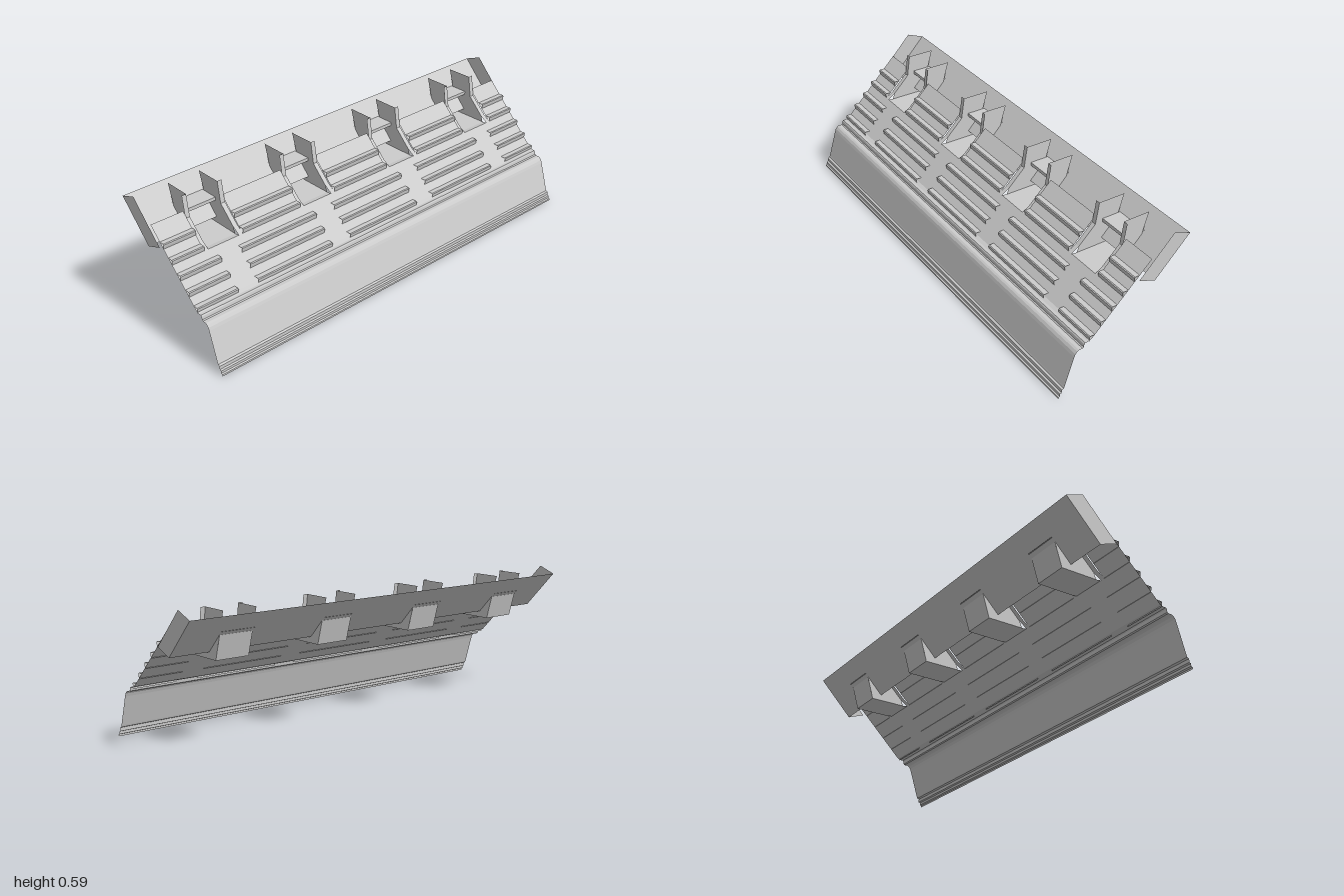
import * as THREE from 'three';

const material = new THREE.MeshStandardMaterial({ color: 0xcccccc, flatShading: true, side: THREE.DoubleSide });

// Folded sheet: a [z, y] profile swept straight from x0 to x1
function sheet(name, profile, x0, x1) {
  const pos = [], index = [];
  profile.forEach(([z, y], i) => {
    pos.push(x0, y, z, x1, y, z);
    if (i) {
      const a = 2 * i - 2;
      index.push(a, a + 2, a + 1, a + 1, a + 2, a + 3);
    }
  });
  let g = new THREE.BufferGeometry();
  g.setAttribute('position', new THREE.Float32BufferAttribute(pos, 3));
  g.setIndex(index);
  g = g.toNonIndexed();
  g.computeVertexNormals();
  const mesh = new THREE.Mesh(g, material);
  mesh.name = name;
  return mesh;
}

// Flat plate in a plane of constant x, outlined by [z, y] points
function sidePlate(name, outline, x) {
  const shape = new THREE.Shape(outline.map(([z, y]) => new THREE.Vector2(-z, y)));
  const g = new THREE.ShapeGeometry(shape);
  g.rotateY(Math.PI / 2);
  const mesh = new THREE.Mesh(g, material);
  mesh.position.x = x;
  mesh.name = name;
  return mesh;
}

export function createModel() {
  const model = new THREE.Group();
  const centers = [-0.745, -0.25, 0.25, 0.745];
  const END = 0.993;
  const slopeZ = (y) => 0.381 - y;

  // Stepped foot, leaning skirt, rounded shoulder and lower half of the sloping panel
  model.add(sheet('skirtAndPanel', [
    [0.29, 0], [0.29, 0.008], [0.283, 0.011], [0.283, 0.022], [0.275, 0.025], [0.275, 0.04],
    [0.266, 0.044], [0.263, 0.052], [0.224, 0.18], [0.219, 0.193], [0.211, 0.203], [0.203, 0.207],
    [0.186, 0.207], [0.181, 0.211], [0.179, 0.224], [0.175, 0.229], [0.162, 0.229],
    [slopeZ(0.235), 0.235], [slopeZ(0.375), 0.375],
  ], -END, END));

  // Upper half of the panel and its louvres, left open at each bracket
  const louvre = (y, x0, x1) => sheet('louvre', [
    [slopeZ(y), y], [slopeZ(y) + 0.022, y], [slopeZ(y) + 0.026, y - 0.003],
    [slopeZ(y) + 0.025, y - 0.012], [slopeZ(y) + 0.022, y - 0.025],
  ], x0, x1);
  for (let i = 0; i <= centers.length; i++) {
    const x0 = i ? centers[i - 1] + 0.095 : -END;
    const x1 = i < centers.length ? centers[i] - 0.095 : END;
    model.add(sheet('upperPanel', [[slopeZ(0.375), 0.375], [slopeZ(0.502), 0.502]], x0, x1));
    for (const y of [0.398, 0.448]) model.add(louvre(y, x0, x1));

    // Lower louvre rows
    const a = i ? centers[i - 1] + 0.05 : -END;
    const b = i < centers.length ? centers[i] - 0.05 : END;
    for (const y of [0.25, 0.299, 0.349]) model.add(louvre(y, a, b));
  }

  // Back plate standing behind the panel, with a flange at each end
  model.add(sheet('backPlate', [[-0.14, 0.398], [-0.295, 0.561]], -1, 1));
  for (const s of [-1, 1]) {
    model.add(sidePlate('endFlange', [[-0.14, 0.398], [-0.06, 0.428], [-0.215, 0.591], [-0.295, 0.561]], s));
  }

  // Brackets: two flanged cheeks joined by a floor, rear wall and shelf
  for (const c of centers) {
    const bracket = new THREE.Group();
    bracket.name = 'bracket';
    const front = [[-0.018, 0.371], [-0.028, 0.398], [-0.105, 0.475], [-0.119, 0.573]];
    for (const s of [-1, 1]) {
      bracket.add(sidePlate('cheek', [...front, [-0.243, 0.573], [-0.185, 0.371]], s * 0.076));
      bracket.add(sheet('cheekFlange', [[0.006, 0.375], ...front.slice(1)], s * 0.076, s * 0.097));
    }
    bracket.add(sheet('pocket', [[0.006, 0.375], [-0.018, 0.371], [-0.185, 0.371], [-0.215, 0.475]], -0.076, 0.076));
    bracket.add(sheet('shelf', [[-0.215, 0.475], [-0.14, 0.475], [-0.14, 0.49], [-0.232, 0.49]], -0.076, 0.076));
    bracket.position.x = c;
    model.add(bracket);
  }
  return model;
}
